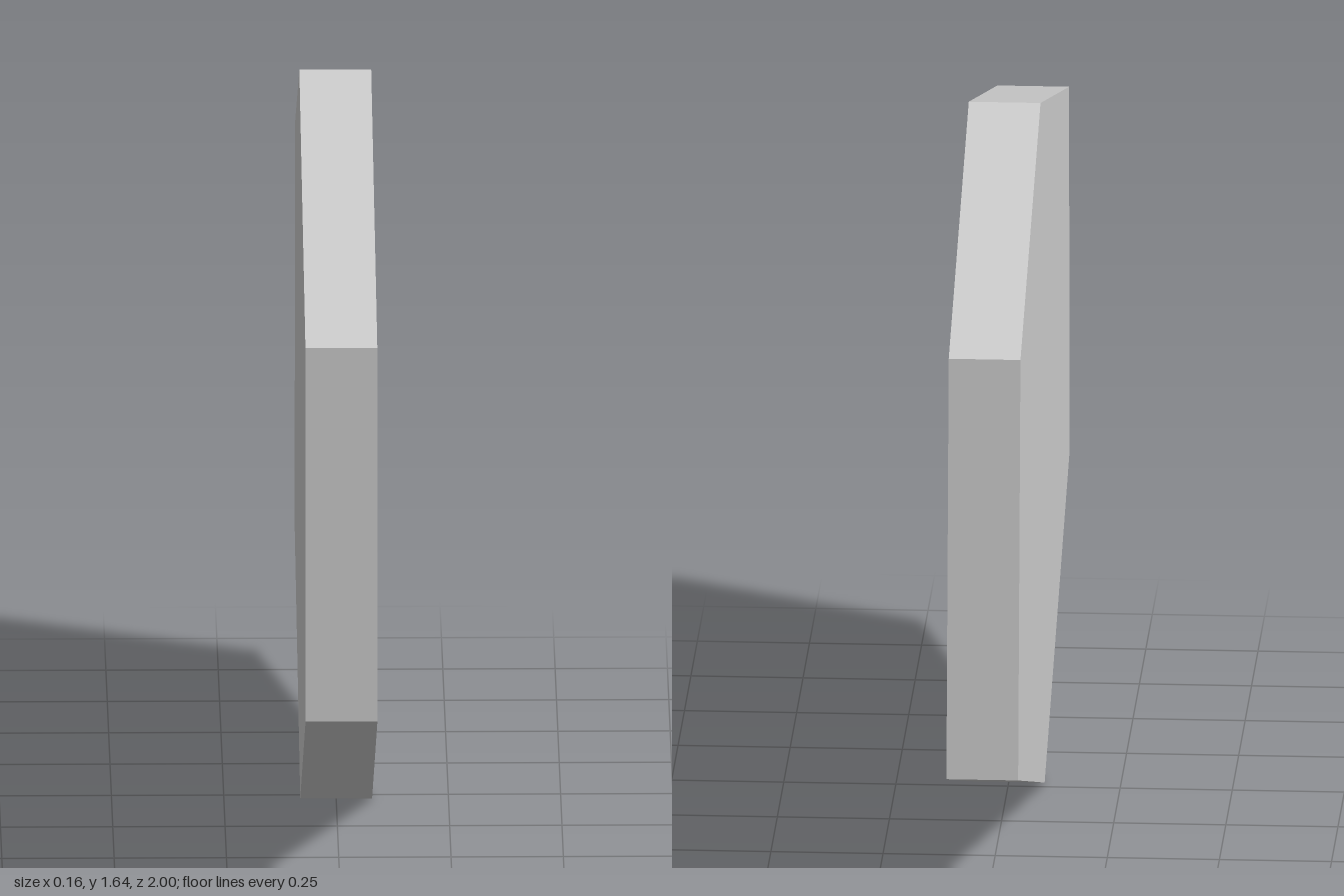
import * as THREE from 'three';

// Hexagonal cross-sections as [z, y], counter-clockwise seen from +x
const outer = [[0.98, 1.32], [1, 0.46], [0.03, 0], [-1, 0.34], [-0.91, 1.295], [-0.13, 1.643]];
const opening = [[0.81, 1.235], [0.82, 0.5], [0.005, 0.15], [-0.822, 0.397], [-0.782, 1.165], [-0.105, 1.495]];
const base = [[0.715, 1.187], [0.715, 0.53], [-0.005, 0.239], [-0.723, 0.434], [-0.708, 1.083], [-0.095, 1.407]];

const ring = (loop, x) => loop.map(([z, y]) => [x, y, z]);

// Quads joining two matching rings
function strip(a, b) {
  const out = [];
  a.forEach((p, i) => {
    const j = (i + 1) % a.length;
    out.push(p, a[j], b[j], p, b[j], b[i]);
  });
  return out;
}

// Triangle fan filling a convex ring
function fan(r) {
  const out = [];
  for (let i = 1; i < r.length - 1; i++) out.push(r[0], r[i], r[i + 1]);
  return out;
}

function part(name, points, material) {
  const geometry = new THREE.BufferGeometry();
  geometry.setAttribute('position', new THREE.Float32BufferAttribute(points.flat(), 3));
  geometry.computeVertexNormals();
  const mesh = new THREE.Mesh(geometry, material);
  mesh.name = name;
  return mesh;
}

export function createModel() {
  const group = new THREE.Group();
  group.name = 'hexagonalTray';
  const grey = new THREE.MeshStandardMaterial({ color: 0xcccccc });
  grey.name = 'lightGrey';

  const back = ring(outer, -0.08);
  const front = ring(outer, 0.08);
  const lip = ring(opening, 0.08);
  const floor = ring(base, -0.005);

  group.add(
    part('outerWall', strip(back, front), grey),
    part('rim', strip(front, lip), grey),
    part('recessWall', strip(lip, floor), grey),
    part('recessFloor', fan(floor), grey),
    part('backPanel', fan([...back].reverse()), grey),
  );
  return group;
}
